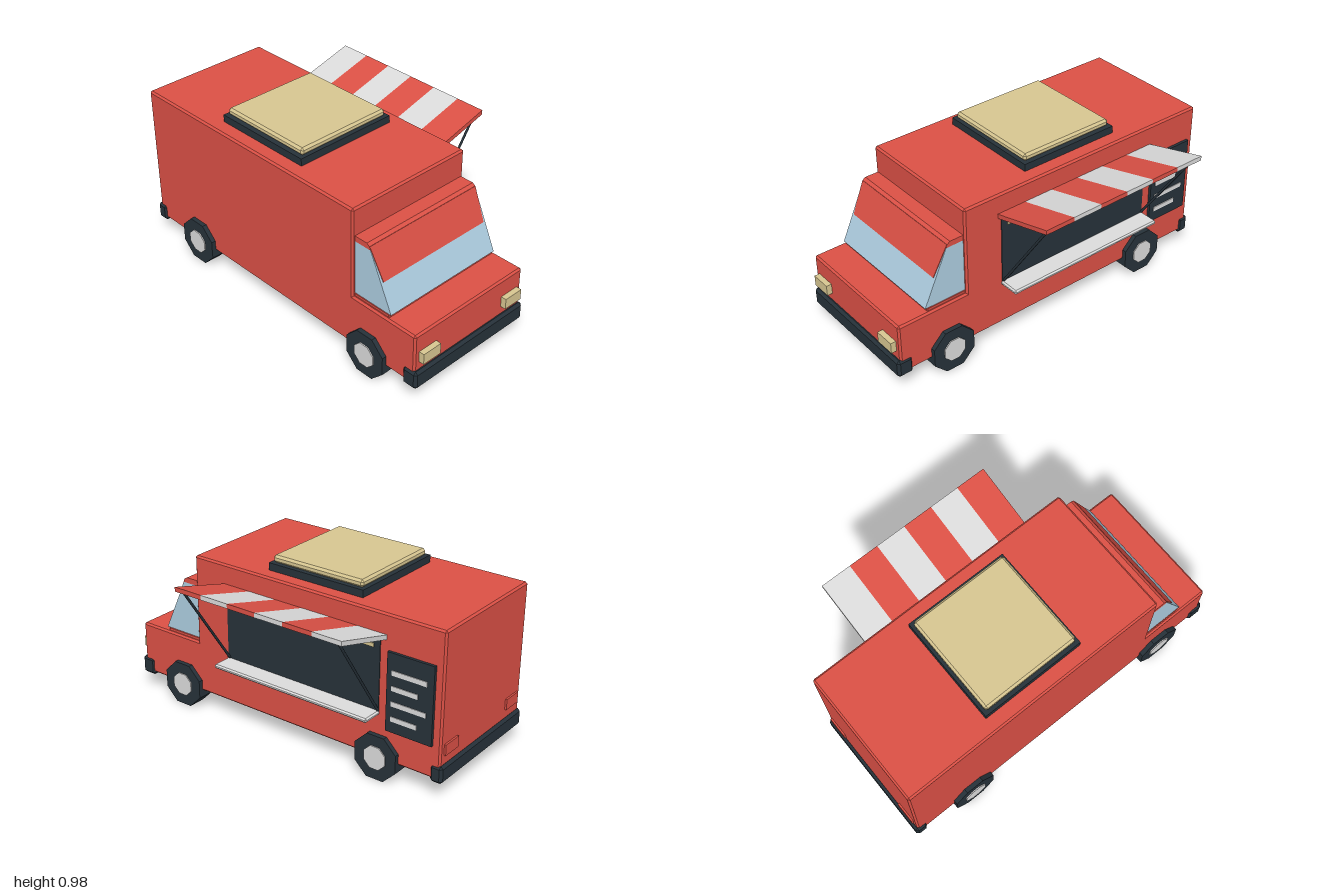
import * as THREE from 'three';
import { ConvexGeometry } from 'three/addons/geometries/ConvexGeometry.js';

const paint = (name, color) => Object.assign(new THREE.MeshStandardMaterial({ color }), { name });

export function createModel() {
  const truck = new THREE.Group();
  truck.name = 'foodTruck';
  const red = paint('red', 0xda5045);
  const dark = paint('charcoal', 0x263139);
  const cream = paint('cream', 0xd6c590);
  const white = paint('lightGrey', 0xdadada);
  const glass = paint('glass', 0xacccdf);

  const add = (name, geometry, material) => {
    const mesh = new THREE.Mesh(geometry, material);
    mesh.name = name;
    truck.add(mesh);
    return mesh;
  };

  // Box given by its limits; chamfer c cuts all twelve edges
  const box = (name, material, [x0, x1], [y0, y1], [z0, z1], c = 0) => {
    const size = [x1 - x0, y1 - y0, z1 - z0];
    let geometry;
    if (c === 0) {
      geometry = new THREE.BoxGeometry(...size);
    } else {
      const points = [];
      for (const sx of [-1, 1]) for (const sy of [-1, 1]) for (const sz of [-1, 1]) {
        for (let axis = 0; axis < 3; axis++) {
          const inset = [c, c, c];
          inset[axis] = 0;
          points.push(new THREE.Vector3(
            sx * (size[0] / 2 - inset[0]),
            sy * (size[1] / 2 - inset[1]),
            sz * (size[2] / 2 - inset[2])));
        }
      }
      geometry = new ConvexGeometry(points);
    }
    const mesh = add(name, geometry, material);
    mesh.position.set((x0 + x1) / 2, (y0 + y1) / 2, (z0 + z1) / 2);
    return mesh;
  };

  // Solid across x from a side outline of [z, y, xInset] points
  const MID = -0.1675;
  const across = (name, material, halfWidth, outline) => {
    const points = outline.flatMap(([z, y, inset = 0]) => [-1, 1].map(
      s => new THREE.Vector3(MID + s * (halfWidth - inset), y, z)));
    return add(name, new ConvexGeometry(points), material);
  };

  // Body, hood and bumpers
  const bodyX = [-0.545, 0.21];
  box('body', red, bodyX, [0.11, 0.9], [-0.985, 0.56], 0.01);
  box('hood', red, bodyX, [0.11, 0.402], [0.5, 0.97], 0.01);
  box('frontBumper', dark, [-0.555, 0.217], [0.093, 0.195], [0.9, 0.99], 0.014);
  box('rearBumper', dark, [-0.555, 0.217], [0.093, 0.19], [-1, -0.93], 0.014);

  // Lights
  for (const x of [[-0.515, -0.4], [0.065, 0.18]]) {
    box('headlight', cream, x, [0.24, 0.3], [0.96, 1]);
    box('tailLight', red, x, [0.24, 0.3], [-0.995, -0.97]);
  }

  // Cab: sill, glass, roof cap and tapering visor on the windscreen
  box('windscreenSill', red, [-0.53, 0.195], [0.39, 0.42], [0.55, 0.79], 0.005);
  across('cabGlass', glass, 0.362, [[0.55, 0.42], [0.8, 0.42], [0.66, 0.722], [0.55, 0.722]]);
  across('cabRoof', red, 0.363, [[0.55, 0.72], [0.661, 0.72], [0.655, 0.738], [0.638, 0.75], [0.55, 0.75]]);
  across('visor', red, 0.362, [
    [0.657, 0.738], [0.645, 0.735], [0.725, 0.568, 0.014], [0.735, 0.57, 0.014]]);

  // Wheels: octagonal tyres with pale hubs
  const octagon = (radius, width) => {
    const g = new THREE.CylinderGeometry(radius, radius, width, 8, 1, false, Math.PI / 8).toNonIndexed();
    g.computeVertexNormals();
    return g.rotateZ(Math.PI / 2);
  };
  for (const side of [-1, 1]) for (const z of [0.665, -0.625]) {
    add('tyre', octagon(0.1325, 0.1), dark).position.set(MID + side * 0.3525, 0.1225, z);
    add('hub', octagon(0.068, 0.02), white).position.set(MID + side * 0.3985, 0.1225, z);
  }

  // Roof hatch
  box('hatchFrame', dark, [-0.465, 0.13], [0.89, 0.94], [-0.46, 0.125]);
  box('hatchLid', cream, [-0.447, 0.113], [0.939, 0.98], [-0.445, 0.112], 0.012);

  // Serving window with lamp strip and counter
  box('servingWindow', dark, [0.206, 0.214], [0.37, 0.755], [-0.625, 0.34]);
  box('lampStrip', cream, [0.21, 0.219], [0.71, 0.73], [-0.59, 0.305]);
  box('counter', white, [0.205, 0.325], [0.352, 0.376], [-0.63, 0.345], 0.008);

  // Striped awning: six sloping slabs
  const slab = new THREE.Shape([
    [0.205, 0.765], [0.573, 0.867], [0.573, 0.892], [0.205, 0.79],
  ].map(([x, y]) => new THREE.Vector2(x, y)));
  const stripe = 1.02 / 6;
  for (let i = 0; i < 6; i++) {
    const g = new THREE.ExtrudeGeometry(slab, { depth: stripe, bevelEnabled: false });
    add('awningStripe', g, i % 2 ? white : red).position.z = 0.36 - (i + 1) * stripe;
  }

  // Awning struts
  const foot = new THREE.Vector2(0.212, 0.375), head = new THREE.Vector2(0.545, 0.862);
  const run = head.clone().sub(foot);
  for (const z of [0.33, -0.622]) {
    const strut = add('awningStrut', new THREE.CylinderGeometry(0.007, 0.007, run.length(), 6), dark);
    strut.position.set((foot.x + head.x) / 2, (foot.y + head.y) / 2, z);
    strut.rotation.z = run.angle() - Math.PI / 2;
  }

  // Menu board with plain bars
  box('menuBoard', dark, [0.2, 0.226], [0.29, 0.715], [-0.94, -0.675]);
  [0.612, 0.53, 0.447, 0.365].forEach((y, i) => {
    box('menuBar', white, [0.224, 0.23], [y - 0.013, y + 0.013], [i % 2 ? -0.855 : -0.903, -0.705]);
  });

  return truck;
}
